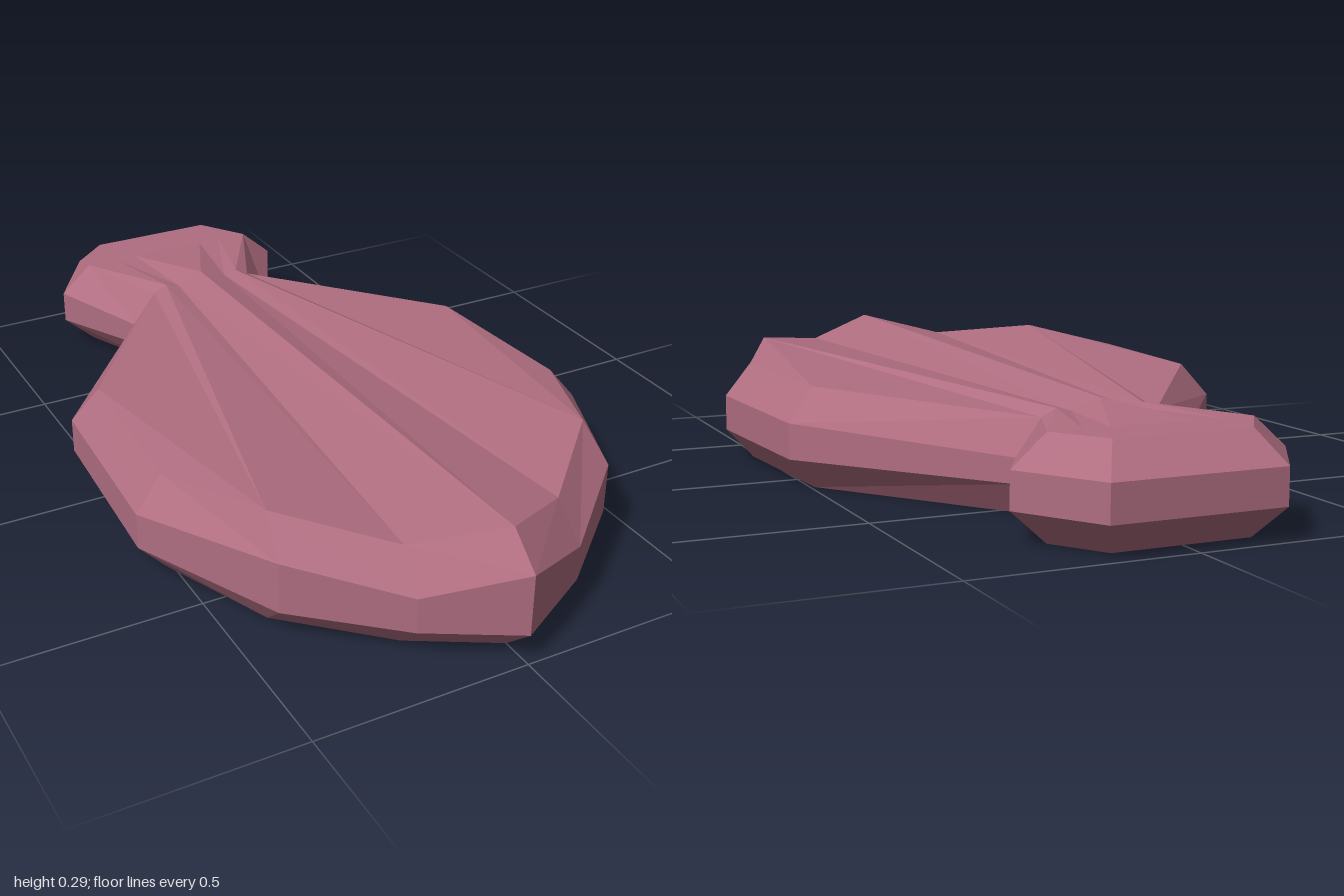
import * as THREE from 'three';

// Half outline from the front tip round the +x side to the tail:
// [outer x, outer z, wall top y, inset x, inset z, top y]
const OUTLINE = [
  [0, 1, 0.22, 0, 0.92, 0.29],
  [0.2, 0.885, 0.157, 0.19, 0.81, 0.24],
  [0.415, 0.695, 0.195, 0.4, 0.61, 0.272],
  [0.58, 0.34, 0.16, 0.515, 0.33, 0.24],
  [0.555, -0.12, 0.157, 0.49, -0.1, 0.236],
  [0.2, -0.58, 0.13, 0.14, -0.58, 0.212],
  [0.32, -0.81, 0.155, 0.24, -0.81, 0.225],
  [0.2, -1, 0.155, 0.16, -0.93, 0.225],
  [0, -1, 0.155, 0, -0.93, 0.225],
];

// Collects polygons for the +x half and mirrors each to the -x half.
function mirroredMesh(name, material, polygons) {
  const pos = [];
  const tri = (a, b, c) => {
    pos.push(...a, ...b, ...c);
    for (const p of [a, c, b]) pos.push(-p[0], p[1], p[2]);
  };
  const area = new THREE.Triangle();
  for (const poly of polygons) {
    for (let i = 1; i < poly.length - 1; i++) {
      const t = [poly[0], poly[i], poly[i + 1]];
      area.set(...t.map((p) => new THREE.Vector3(...p)));
      if (area.getArea() > 1e-7) tri(...t);
    }
  }
  const geo = new THREE.BufferGeometry();
  geo.setAttribute('position', new THREE.Float32BufferAttribute(pos, 3));
  geo.computeVertexNormals();
  const mesh = new THREE.Mesh(geo, material);
  mesh.name = name;
  return mesh;
}

export function createModel() {
  const group = new THREE.Group();
  group.name = 'facetedSlab';
  const rose = new THREE.MeshStandardMaterial({ color: 0xb06e81, flatShading: true });
  rose.name = 'dusty rose';

  // Four rings: base, lower wall, upper wall, top rim
  const rings = [
    OUTLINE.map((p) => [p[3], 0, p[4]]),
    OUTLINE.map((p) => [p[0], 0.073, p[1]]),
    OUTLINE.map((p) => [p[0], p[2], p[1]]),
    OUTLINE.map((p) => [p[3], p[5], p[4]]),
  ];
  ['lowerBevel', 'sideWall', 'upperBevel'].forEach((name, r) => {
    const [lo, hi] = [rings[r], rings[r + 1]];
    const quads = [];
    for (let i = 0; i < lo.length - 1; i++) quads.push([lo[i], lo[i + 1], hi[i + 1], hi[i]]);
    group.add(mirroredMesh(name, rose, quads));
  });

  // Flat underside, in strips out from the centre line
  const base = rings[0];
  const under = [];
  for (let i = 0; i < base.length - 1; i++) {
    const [a, b] = [base[i], base[i + 1]];
    under.push([[0, 0, a[2]], [0, 0, b[2]], b, a]);
  }
  group.add(mirroredMesh('underside', rose, under));

  // Ridged top: folds run from the front rim and converge on the neck
  const [f0, f1, f2, f3, f4, n3, t3, e1, e0] = rings[3];
  const neck = [[0, 0.247, -0.58], [0.07, 0.222, -0.58], [0.105, 0.23, -0.58], n3];
  const tail = [[0, 0.225, -0.81], [0.1, 0.225, -0.81], [0.16, 0.225, -0.81], t3];
  const top = [
    [f0, f1, neck[1], neck[0]],
    [f1, f2, neck[2], neck[1]],
    [f2, f3, f4, n3, neck[2]],
    [tail[0], t3, e1, e0],
  ];
  for (let i = 0; i < 3; i++) top.push([neck[i], neck[i + 1], tail[i + 1], tail[i]]);
  group.add(mirroredMesh('ridgedTop', rose, top));
  return group;
}
